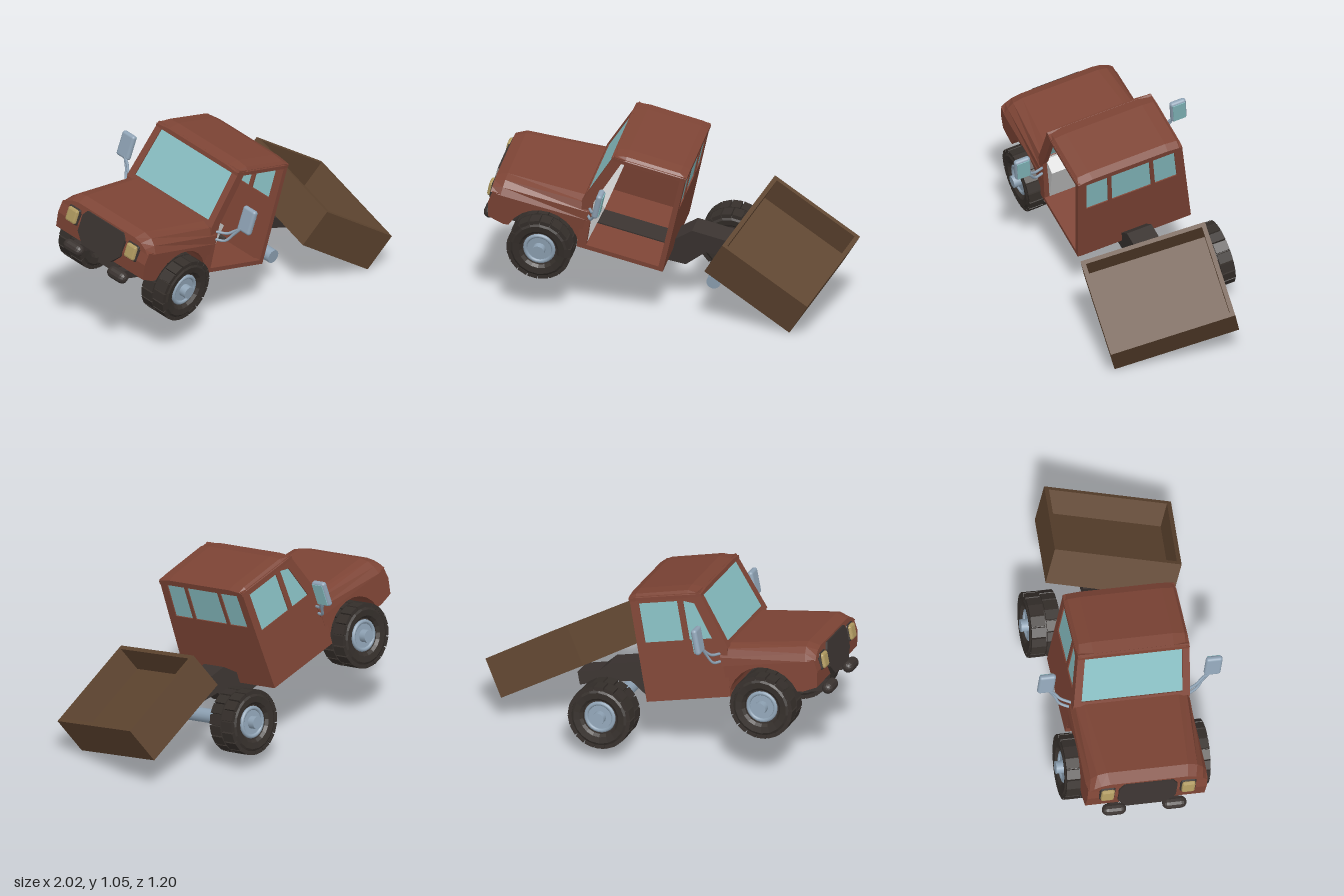
import * as THREE from 'three';
import { mergeGeometries } from 'three/addons/utils/BufferGeometryUtils.js';
import { RoundedBoxGeometry } from 'three/addons/geometries/RoundedBoxGeometry.js';

const V = (x, y, z) => new THREE.Vector3(x, y, z);
const paint = (color, flat = true) =>
  new THREE.MeshStandardMaterial({ color, flatShading: flat, side: THREE.DoubleSide });
const RED = paint(0x7d4435), GLASS = paint(0x86bcc0), DARK = paint(0x3a3330), TYRE = paint(0x352f2b);
const STEEL = paint(0x8fa3b5, false), LAMP = paint(0xb09a60), WOOD = paint(0x5f4530), GREY = paint(0xcccccc);

function add(parent, name, geo, mat, x = 0, y = 0, z = 0) {
  const m = new THREE.Mesh(geo, mat);
  m.name = name;
  m.position.set(x, y, z);
  parent.add(m);
  return m;
}
const box = (w, h, d) => new THREE.BoxGeometry(w, h, d);
const rod = (r, len, n = 16) => new THREE.CylinderGeometry(r, r, len, n).rotateZ(Math.PI / 2);

function outline(points, holes = []) {
  const v = (a) => a.map(([x, y]) => new THREE.Vector2(x, y));
  const s = new THREE.Shape(v(points));
  s.holes = holes.map((h) => new THREE.Path(v(h)));
  return s;
}
const slab = (shape, depth) =>
  new THREE.ExtrudeGeometry(shape, { depth, bevelEnabled: false }).translate(0, 0, -depth / 2);
// side profile drawn as (forward, up), extruded across the truck
const sideSlab = (shape, depth) => slab(shape, depth).rotateY(-Math.PI / 2);
const rect = (x0, y0, x1, y1) => [[x0, y0], [x1, y0], [x1, y1], [x0, y1]];

// the cab narrows towards the roof
function taper(geo) {
  const p = geo.attributes.position;
  for (let i = 0; i < p.count; i++) p.setX(i, p.getX(i) * (1 - 0.13 * (p.getY(i) - 0.31)));
  geo.computeVertexNormals();
  return geo;
}

// closed skin through rings of equal length, with flat end caps
function loft(rings) {
  const pos = [], n = rings[0].length;
  const tri = (...c) => c.forEach((q) => pos.push(q.x, q.y, q.z));
  for (let i = 0; i + 1 < rings.length; i++) {
    for (let j = 0; j < n; j++) {
      const k = (j + 1) % n, a = rings[i], b = rings[i + 1];
      tri(a[j], b[j], b[k]);
      tri(a[j], b[k], a[k]);
    }
  }
  const last = rings[rings.length - 1];
  for (let j = 1; j + 1 < n; j++) {
    tri(rings[0][0], rings[0][j], rings[0][j + 1]);
    tri(last[0], last[j + 1], last[j]);
  }
  const g = new THREE.BufferGeometry();
  g.setAttribute('position', new THREE.Float32BufferAttribute(pos, 3));
  g.computeVertexNormals();
  return g;
}
// mirrored cross-section at one station: half profile of [x, y]
const section = (half, z) => [
  ...half.map(([x, y]) => V(x, y, z)),
  ...[...half].reverse().map(([x, y]) => V(-x, y, z)),
];

function makeWheel(name, side) {
  const w = new THREE.Group();
  w.name = name;
  const profile = [[0.1, -0.07], [0.115, -0.085], [0.15, -0.09], [0.17, -0.078], [0.174, 0],
    [0.17, 0.078], [0.15, 0.09], [0.115, 0.085], [0.1, 0.07], [0.1, -0.07]];
  const parts = [new THREE.LatheGeometry(profile.map(([r, y]) => new THREE.Vector2(r, y)), 18)];
  // two staggered rows of tread blocks
  for (let i = 0; i < 18; i++) {
    for (const s of [-1, 1]) {
      const a = ((i + (s > 0 ? 0.5 : 0)) / 18) * Math.PI * 2;
      parts.push(box(0.022, 0.08, 0.055).translate(0.171, s * 0.044, 0).rotateY(a));
    }
  }
  add(w, 'tyre', mergeGeometries(parts).rotateZ(Math.PI / 2), TYRE);
  add(w, 'rimBarrel', rod(0.102, 0.11, 24), DARK);
  add(w, 'rim', rod(0.08, 0.135, 24), STEEL);
  add(w, 'rimRing', new THREE.TorusGeometry(0.08, 0.012, 8, 24).rotateY(Math.PI / 2), STEEL, side * 0.066);
  add(w, 'hub', rod(0.036, 0.05), STEEL, side * 0.085);
  return w;
}

function buildCab(truck) {
  const cab = new THREE.Group();
  cab.name = 'cab';
  truck.add(cab);
  const put = (name, geo, mat) => add(cab, name, taper(geo), mat);

  // side walls: glazed on the right, open doorway on the left
  const wall = [[0.02, 0.31], [0.52, 0.31], [0.55, 0.6], [0.435, 0.92], [0.02, 0.92]];
  const panes = [rect(0.07, 0.65, 0.3, 0.88), [[0.335, 0.65], [0.47, 0.65], [0.4, 0.86], [0.335, 0.88]]];
  const doorway = [[0.05, 0.335], [0.47, 0.335], [0.49, 0.6], [0.39, 0.89], [0.05, 0.89]];
  put('rightWall', sideSlab(outline(wall, panes), 0.03).translate(-0.33, 0, 0), RED);
  panes.forEach((p) => put('rightWindow', sideSlab(outline(p), 0.012).translate(-0.332, 0, 0), GLASS));
  put('leftDoorFrame', sideSlab(outline(wall, [doorway]), 0.03).translate(0.33, 0, 0), RED);

  // rear wall with three windows
  const rear = [[-0.29, -0.15], [-0.125, 0.125], [0.15, 0.29]].map(([a, b]) => rect(a, 0.69, b, 0.895));
  put('rearWall', slab(outline(rect(-0.345, 0.31, 0.345, 0.92), rear), 0.03).translate(0, 0, 0.035), RED);
  rear.forEach((p) => put('rearWindow', slab(outline(p), 0.012).translate(0, 0, 0.033), GLASS));

  // windscreen leaning back
  const lean = (g) => g.rotateX(-0.34).translate(0, 0.595, 0.54);
  const screen = rect(-0.3, 0.02, 0.3, 0.315);
  put('windscreenFrame', lean(slab(outline(rect(-0.345, -0.01, 0.345, 0.345), [screen]), 0.025)), RED);
  put('windscreen', lean(slab(outline(screen), 0.012)), GLASS);

  // gently crowned roof
  const roofAt = (z, top, w) => section([[w, 0.895], [w, 0.913], [w - 0.02, top - 0.008], [w - 0.09, top]], z);
  add(cab, 'roof', loft([roofAt(0.015, 0.927, 0.318), roofAt(0.06, 0.94, 0.322),
    roofAt(0.37, 0.943, 0.322), roofAt(0.45, 0.92, 0.318)]), RED);

  add(cab, 'floor', box(0.67, 0.02, 0.5), RED, 0, 0.318, 0.27);
  const dash = [[0.51, 0.32], [0.475, 0.32], [0.42, 0.58], [0.5, 0.62], [0.53, 0.6]];
  add(cab, 'dashboard', sideSlab(outline(dash), 0.62), GREY);
}

function buildNose(truck) {
  // fenders with wheel arches
  const arch = [];
  for (let i = 0; i <= 10; i++) {
    const a = 0.27 + (i / 10) * (Math.PI - 0.54);
    arch.push([0.715 + 0.212 * Math.cos(a), 0.257 + 0.212 * Math.sin(a)]);
  }
  const fender = [[0.51, 0.49], [1.05, 0.49], [1.06, 0.42], [1.04, 0.33], [0.95, 0.31], ...arch, [0.51, 0.31]];
  add(truck, 'fenders', sideSlab(outline(fender.reverse()), 0.68), RED);

  // bonnet
  add(truck, 'bonnet', loft([
    section([[0.345, 0.49], [0.34, 0.54], [0.32, 0.585], [0.27, 0.605]], 0.5),
    section([[0.345, 0.485], [0.32, 0.525], [0.285, 0.555], [0.23, 0.568]], 1.0),
    section([[0.335, 0.485], [0.31, 0.505], [0.27, 0.525], [0.22, 0.535]], 1.06),
  ]), RED);

  const grille = [[-0.11, 0.33], [0.11, 0.33], [0.165, 0.39], [0.165, 0.49], [0.14, 0.525],
    [-0.14, 0.525], [-0.165, 0.49], [-0.165, 0.39]];
  add(truck, 'grille', slab(outline(grille), 0.03), DARK, 0, 0, 1.056);

  for (const s of [-1, 1]) {
    add(truck, 'headlightFrame', new RoundedBoxGeometry(0.09, 0.1, 0.05, 1, 0.012), DARK, s * 0.23, 0.455, 1.045);
    add(truck, 'headlight', new RoundedBoxGeometry(0.075, 0.085, 0.05, 1, 0.012), LAMP, s * 0.23, 0.455, 1.06);
    add(truck, 'bumperPad', new THREE.CapsuleGeometry(0.034, 0.07, 4, 12).rotateZ(Math.PI / 2), DARK, s * 0.172, 0.279, 1.05);
    add(truck, 'bumperArm', box(0.05, 0.05, 0.17), DARK, s * 0.172, 0.285, 0.96);
  }
}

function buildMirror(truck, s) {
  const mirror = new THREE.Group();
  mirror.name = s > 0 ? 'leftMirror' : 'rightMirror';
  truck.add(mirror);
  add(mirror, 'mirrorShell', new RoundedBoxGeometry(0.095, 0.15, 0.035, 3, 0.016), STEEL, s * 0.475, 0.694, 0.445);
  add(mirror, 'mirrorGlass', box(0.075, 0.125, 0.006), GLASS, s * 0.475, 0.694, 0.427);
  for (const dy of [0, 0.045]) {
    const path = new THREE.CatmullRomCurve3([V(s * 0.33, 0.515 + dy, 0.5), V(s * 0.39, 0.53 + dy, 0.475),
      V(s * 0.42, 0.58 + dy / 2, 0.46), V(s * 0.46, 0.64, 0.455)]);
    add(mirror, 'mirrorStalk', new THREE.TubeGeometry(path, 12, 0.008, 6), STEEL);
  }
}

function buildChassis(truck) {
  // central beam, kicked up over the rear axle
  const beam = [[0.93, 0.225], [0.93, 0.3], [0.5, 0.335], [0.06, 0.335], [-0.06, 0.455],
    [-0.28, 0.455], [-0.34, 0.42], [-0.47, 0.42], [-0.47, 0.345], [-0.3, 0.36], [-0.16, 0.345], [-0.07, 0.235], [0.1, 0.225]];
  add(truck, 'chassisBeam', sideSlab(outline(beam), 0.15), DARK);
  add(truck, 'frontAxle', rod(0.035, 0.6), STEEL, 0, 0.257, 0.715);
  // bare on the left, where the wheel is missing
  add(truck, 'rearAxle', rod(0.04, 0.5), STEEL, -0.05, 0.25, -0.255);
  add(truck, 'rearAxleFlange', rod(0.085, 0.035, 24), STEEL, -0.235, 0.25, -0.255);
  for (const [name, s, z] of [['frontLeftWheel', 1, 0.715], ['frontRightWheel', -1, 0.715], ['rearRightWheel', -1, -0.255]]) {
    const w = makeWheel(name, s);
    w.position.set(s * 0.325, 0.255, z);
    truck.add(w);
  }
}

function buildTray() {
  // loose open cargo tray
  const tray = new THREE.Group();
  tray.name = 'cargoTray';
  const [w, h, d, t] = [0.583, 0.235, 0.726, 0.025];
  add(tray, 'trayFloor', box(w, 0.075, d), WOOD, 0, -h / 2 + 0.0375, 0);
  for (const s of [-1, 1]) {
    add(tray, 'traySide', box(w, h, t), WOOD, 0, 0, s * (d - t) / 2);
    add(tray, 'trayEnd', box(t, h, d), WOOD, s * (w - t) / 2, 0, 0);
  }
  return tray;
}

// turn a group so its own x and z follow the given directions
function orient(group, x, z) {
  const y = z.clone().cross(x).normalize();
  const xn = x.clone().normalize();
  group.quaternion.setFromRotationMatrix(new THREE.Matrix4().makeBasis(xn, y, xn.clone().cross(y)));
}

export function createModel() {
  const model = new THREE.Group();
  model.name = 'brokenTruck';
  const truck = new THREE.Group();
  truck.name = 'truck';
  buildCab(truck);
  buildNose(truck);
  buildMirror(truck, 1);
  buildMirror(truck, -1);
  buildChassis(truck);
  orient(truck, V(0.289, -0.149, 0.946), V(-0.919, 0.237, 0.316));
  truck.position.set(-0.029, 0.015, -0.095);
  const tray = buildTray();
  orient(tray, V(0.816, -0.54, -0.206), V(0.096, -0.248, 0.964));
  tray.position.set(0.672, 0.34, -0.143);
  model.add(truck, tray);
  return model;
}
